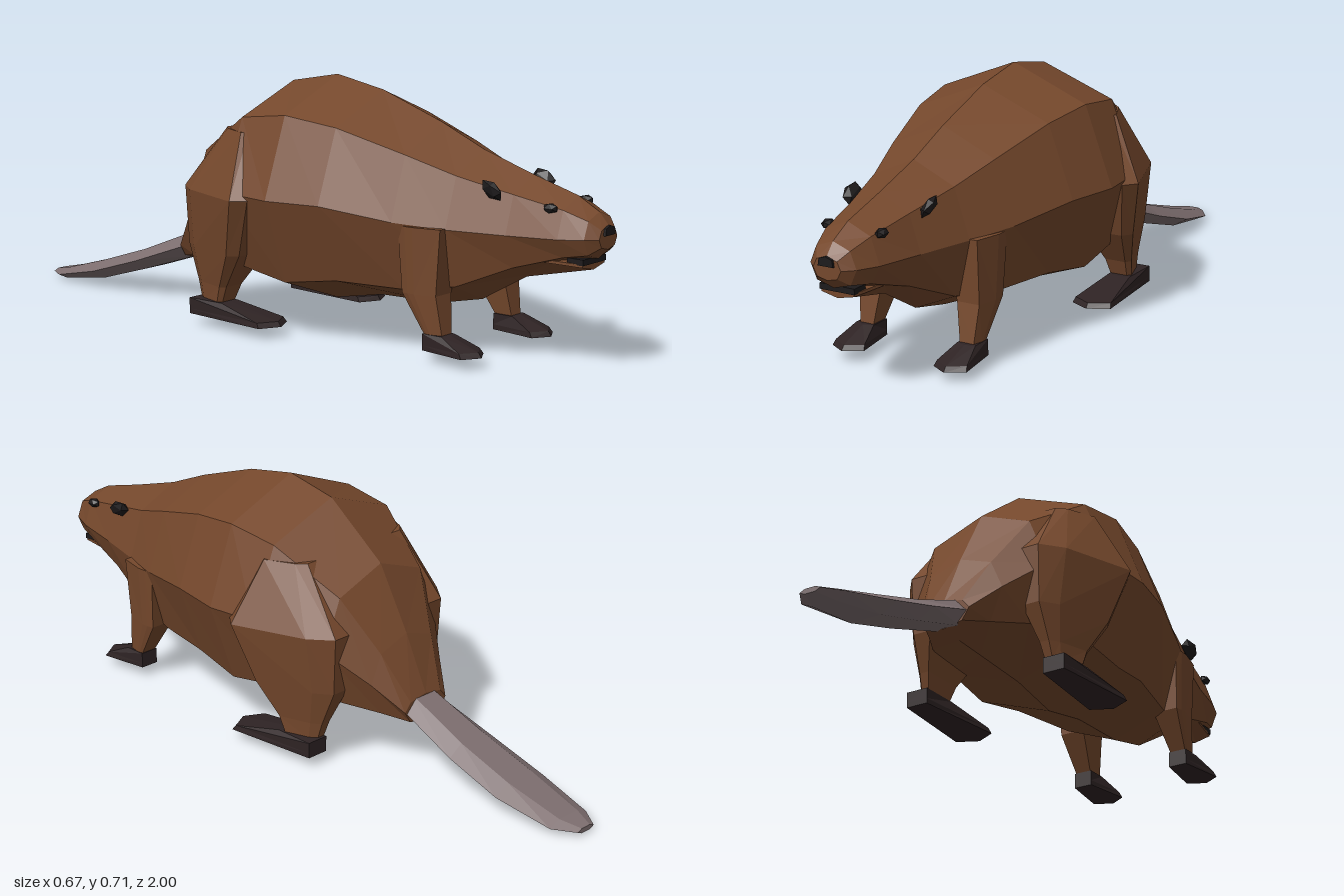
import * as THREE from 'three';

const { lerp } = THREE.MathUtils;

const paint = (name, color) => {
  const m = new THREE.MeshStandardMaterial({ color });
  m.name = name;
  return m;
};

// Skins a list of equal-length rings, caps both ends, and facets the result.
function loft(rings) {
  const n = rings[0].length, index = [];
  rings.slice(1).forEach((_, r) => {
    for (let i = 0; i < n; i++) {
      const a = r * n + i, b = r * n + (i + 1) % n;
      index.push(a, b, b + n, a, b + n, a + n);
    }
  });
  const last = (rings.length - 1) * n;
  for (let i = 1; i < n - 1; i++) {
    index.push(0, i + 1, i, last, last + i, last + i + 1);
  }
  // Positive enclosed volume means the faces point outward.
  const v = rings.flat().map(p => new THREE.Vector3(...p));
  const cross = new THREE.Vector3();
  let volume = 0;
  for (let i = 0; i < index.length; i += 3) {
    volume += v[index[i]].dot(cross.crossVectors(v[index[i + 1]], v[index[i + 2]]));
  }
  if (volume < 0) index.reverse();
  const indexed = new THREE.BufferGeometry().setFromPoints(v);
  indexed.setIndex(index);
  const g = indexed.toNonIndexed();
  g.computeVertexNormals();
  return g;
}

// Eight-sided trunk section: ridge, shoulders, flanks, lower flanks and keel.
function trunkRing([z, top, width, sideY, bottom]) {
  const up = lerp(sideY, top, 0.71), low = lerp(bottom, sideY, 0.25);
  return [
    [0, top, z], [width * 0.73, up, z], [width, sideY, z], [width * 0.73, low, z],
    [0, bottom, z], [-width * 0.73, low, z], [-width, sideY, z], [-width * 0.73, up, z]];
}

// Six-sided flat section for the tail.
function tailRing([z, w, top, bottom]) {
  const mid = (top + bottom) / 2;
  return [[-w / 2, top, z], [w / 2, top, z], [w, mid, z],
    [w / 2, bottom, z], [-w / 2, bottom, z], [-w, mid, z]];
}

// Level leg section, flat inside; bulge is the depth of the widest point,
// haunch and back are how far out the rear corners reach.
const legRing = (bulge, haunch, back) => ([y, inner, outer, z0, z1]) => [
  [inner, y, z0], [lerp(inner, outer, 0.85), y, z0],
  [outer, y, lerp(z0, z1, bulge)],
  [lerp(inner, outer, haunch), y, lerp(z0, z1, 0.8)],
  [lerp(inner, outer, back), y, z1], [inner, y, z1]];

// Paw with a narrow heel and a wide, pointed toe end.
function pawRings(x, heel, ankle, toe, heelWidth, toeWidth) {
  const ring = (y, w, z, point) => [
    [x - heelWidth, y, heel], [x + heelWidth, y, heel],
    [x + w, y, z], [x, y, z + point], [x - w, y, z]];
  return [
    ring(0.075, heelWidth, ankle, 0.01),
    ring(0.044, toeWidth - 0.004, toe - 0.04, 0.03),
    ring(0.03, toeWidth, toe - 0.03, 0.03)];
}

export function createModel() {
  const model = new THREE.Group();
  model.name = 'beaver';
  const fur = paint('brown fur', 0x75482c);
  const skin = paint('grey tail skin', 0x7d6e6f);
  const dark = paint('dark paw', 0x2e2324);
  const black = paint('black', 0x1d1a1b);
  const add = (name, geometry, material) => {
    const mesh = new THREE.Mesh(geometry, material);
    mesh.name = name;
    model.add(mesh);
    return mesh;
  };

  // Body and head: z, top, half width, flank height, bottom
  add('body', loft([
    [0.993, 0.393, 0.042, 0.36, 0.33],
    [0.965, 0.425, 0.07, 0.36, 0.303],
    [0.90, 0.46, 0.095, 0.357, 0.29],
    [0.76, 0.50, 0.125, 0.355, 0.235],
    [0.60, 0.55, 0.17, 0.357, 0.145],
    [0.46, 0.61, 0.22, 0.367, 0.115],
    [0.26, 0.68, 0.28, 0.395, 0.11],
    [0.10, 0.71, 0.31, 0.395, 0.08],
    [-0.06, 0.68, 0.30, 0.40, 0.11],
    [-0.25, 0.54, 0.215, 0.34, 0.12],
    [-0.35, 0.365, 0.135, 0.25, 0.125],
    [-0.425, 0.21, 0.08, 0.175, 0.13],
  ].map(trunkRing)), fur);

  // Lower jaw, mouth gap and nose
  const jaw = [[0.95, 0.05, 0.291, 0.272], [0.74, 0.09, 0.30, 0.225]]
    .map(([z, w, t, b]) => [
      [w, t, z], [w, t - 0.008, z], [0, b, z], [-w, t - 0.008, z], [-w, t, z]]);
  add('lowerJaw', loft(jaw), fur);
  add('mouth', new THREE.BoxGeometry(0.106, 0.016, 0.05), black).position.set(0, 0.297, 0.928);
  const nose = [0.97, 1.0].map(z => [
    [0, 0.394, z], [0.02, 0.387, z], [0.023, 0.368, z], [-0.023, 0.368, z], [-0.02, 0.387, z]]);
  add('nose', loft(nose), black);

  // Broad flat tail: z, half width, top, bottom
  add('tail', loft([
    [-0.40, 0.07, 0.215, 0.14],
    [-0.60, 0.09, 0.135, 0.075],
    [-0.77, 0.095, 0.08, 0.025],
    [-0.94, 0.072, 0.032, 0],
    [-1.00, 0.032, 0.02, 0.006],
  ].map(tailRing)), skin);

  // Legs: y, inner x, outer x, front z, back z
  const frontLeg = [
    [0.36, 0.09, 0.21, 0.60, 0.47],
    [0.18, 0.12, 0.20, 0.585, 0.48],
    [0.07, 0.137, 0.186, 0.60, 0.547],
  ].map(legRing(0.6, 1, 0.95));
  const hindLeg = [
    [0.56, 0.14, 0.242, -0.03, -0.15],
    [0.385, 0.13, 0.333, 0.03, -0.285],
    [0.22, 0.15, 0.29, -0.03, -0.275],
    [0.12, 0.18, 0.255, -0.10, -0.235],
    [0.07, 0.188, 0.248, -0.12, -0.22],
  ].map(legRing(0.12, 0.63, 0.38));
  const limbs = {
    frontLeg: [frontLeg, fur],
    frontPaw: [pawRings(0.16, 0.542, 0.605, 0.715, 0.028, 0.05), dark],
    hindLeg: [hindLeg, fur],
    hindPaw: [pawRings(0.22, -0.23, -0.11, 0.08, 0.033, 0.06), dark],
  };
  for (const [side, s] of [['left', 1], ['right', -1]]) {
    for (const [name, [rings, material]] of Object.entries(limbs)) {
      const mirrored = rings.map(ring => ring.map(([x, y, z]) => [s * x, y, z]));
      add(`${side} ${name}`, loft(mirrored), material);
    }
    // Eye and ear are small faceted beads
    const eye = add(`${side} eye`, new THREE.IcosahedronGeometry(0.02, 0), black);
    eye.scale.set(0.8, 0.7, 1.15);
    eye.position.set(s * 0.082, 0.434, 0.87);
    const ear = add(`${side} ear`, new THREE.IcosahedronGeometry(0.032, 0), black);
    ear.scale.set(0.5, 0.85, 1.2);
    ear.position.set(s * 0.118, 0.468, 0.71);
    ear.rotation.set(0.45, 0, -s * 0.5);
  }
  return model;
}
